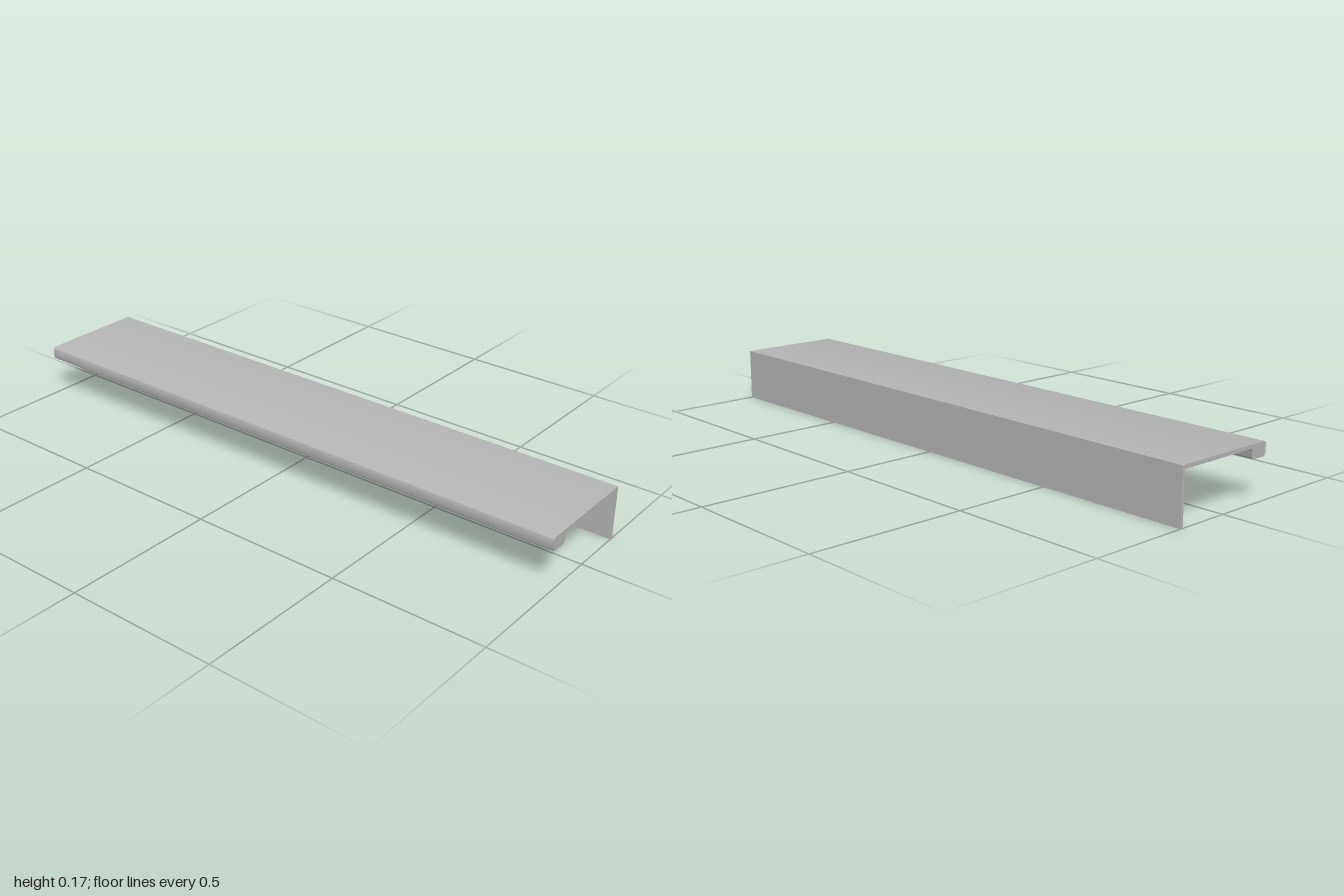
import * as THREE from 'three';
import { toCreasedNormals } from 'three/addons/utils/BufferGeometryUtils.js';

export function createModel() {
  const group = new THREE.Group();
  group.name = 'edgePullHandle';
  const metal = new THREE.MeshStandardMaterial({ color: 0xb4b4b4 });
  metal.name = 'satin aluminium';

  // Profile seen from the side: x is depth (front positive), y is height
  const back = -0.18, front = 0.181, top = 0.173;
  const wall = 0.01, under = 0.161;           // back flange and top plate
  const lipBack = 0.119, lipBottom = 0.129;   // thick front grip
  const r = 0.01, fillet = 0.008;
  const s = new THREE.Shape();
  s.moveTo(back, 0);
  s.lineTo(back + wall, 0);
  s.lineTo(back + wall, under);
  s.lineTo(lipBack - fillet, under);
  // Inner fillet between plate and grip, then the rounded grip corners
  s.absarc(lipBack - fillet, under - fillet, fillet, Math.PI / 2, 0, true);
  s.absarc(lipBack + r, lipBottom + r, r, Math.PI, Math.PI * 1.5, false);
  s.absarc(front - r, lipBottom + r, r, -Math.PI / 2, 0, false);
  s.absarc(front - r, top - r, r, 0, Math.PI / 2, false);
  s.lineTo(back, top);
  s.closePath();

  // The fillet curves from plate underside down into the grip
  const geo = new THREE.ExtrudeGeometry(s, { depth: 2, bevelEnabled: false, curveSegments: 8 });
  geo.rotateY(-Math.PI / 2);
  geo.translate(1, 0, 0);

  const rail = new THREE.Mesh(toCreasedNormals(geo, Math.PI / 6), metal);
  rail.name = 'handleProfile';
  group.add(rail);
  return group;
}
